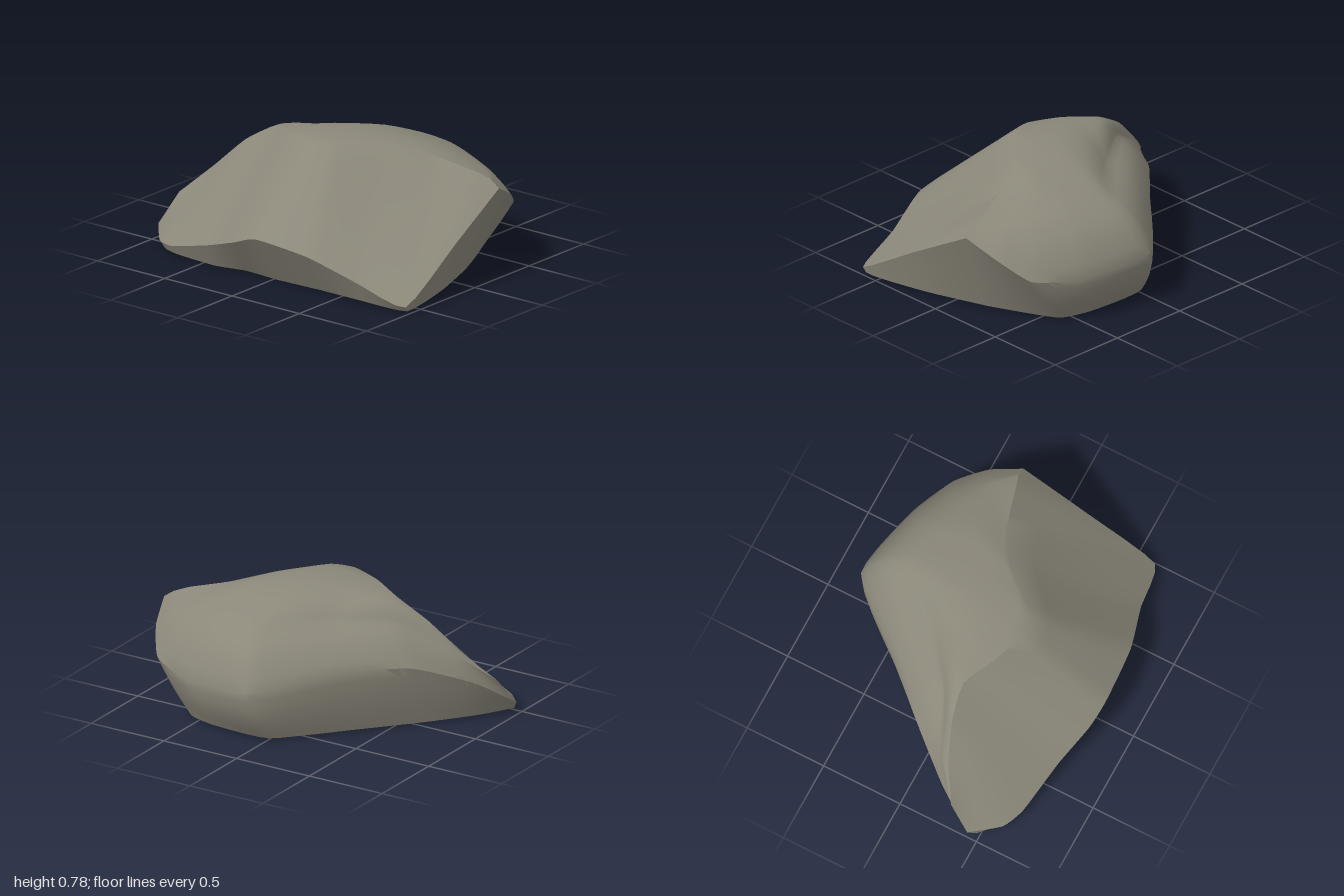
import * as THREE from 'three';
import { mergeGeometries, toCreasedNormals } from 'three/addons/utils/BufferGeometryUtils.js';

const SEG = 40;

// Smooth outline through a few points, sampled evenly from left tip to right end
function outline(points) {
  const curve = new THREE.CatmullRomCurve3(points.map(p => new THREE.Vector3(...p)), false, 'catmullrom', 0.25);
  return curve.getPoints(SEG);
}

// Surface between two outlines, swelling by (0, up, -back) in the middle and fading to both ends
function loft(from, to, rows, up = 0, back = 0, fade = 2) {
  const pos = [], index = [];
  for (let i = 0; i <= SEG; i++) {
    for (let j = 0; j <= rows; j++) {
      const s = j / rows;
      const p = from[i].clone().lerp(to[i], s);
      const swell = Math.sin(Math.PI * s) * Math.max(0, Math.sin(Math.PI * i / SEG)) ** fade;
      pos.push(p.x, p.y + up * swell, p.z - back * swell);
      if (i < SEG && j < rows) {
        const a = i * (rows + 1) + j, b = a + 1, d = a + rows + 1, c = d + 1;
        index.push(a, b, c, a, c, d);
      }
    }
  }
  const geo = new THREE.BufferGeometry();
  geo.setAttribute('position', new THREE.Float32BufferAttribute(pos, 3));
  geo.setIndex(index);
  return geo;
}

export function createModel() {
  const stone = new THREE.MeshStandardMaterial({ color: 0x8b887a });
  stone.name = 'warm grey stone';

  // Upper ridge, front and back
  const ridgeTip = [-0.95, 0.25, 0.31], ridgeEnd = [0.92, 0.585, -0.24];
  const ridgeFront = outline([ridgeTip, [-0.78, 0.42, 0.2], [-0.6, 0.6, 0.13], [-0.4, 0.72, 0.1],
    [-0.2, 0.75, 0.2], [0, 0.76, 0.27], [0.15, 0.76, 0.24], [0.36, 0.75, 0], [0.6, 0.68, -0.14],
    [0.83, 0.62, -0.21], ridgeEnd]);
  const ridgeBack = outline([ridgeTip, [-0.76, 0.42, 0.15], [-0.46, 0.61, 0], [-0.15, 0.62, -0.25],
    [0.14, 0.63, -0.53], [0.42, 0.63, -0.5], [0.66, 0.59, -0.44], [0.82, 0.57, -0.36], ridgeEnd]);

  // Widest edge, above the undercut
  const edgeTip = [-1, 0.08, 0.44], edgeEnd = [0.985, 0.54, -0.24];
  const edgeFront = outline([edgeTip, [-0.86, 0.05, 0.6], [-0.72, 0.06, 0.66], [-0.4, 0.15, 0.72],
    [-0.15, 0.24, 0.79], [0.02, 0.3, 0.81], [0.38, 0.26, 0.78], [0.68, 0.14, 0.69],
    [0.985, 0.04, 0.62], [0.99, 0.3, 0.18], edgeEnd]);
  const edgeBack = outline([edgeTip, [-0.86, 0.25, 0.2], [-0.62, 0.39, -0.1], [-0.33, 0.4, -0.41],
    [0.05, 0.32, -0.81], [0.53, 0.29, -0.73], [0.8, 0.32, -0.6], [0.92, 0.44, -0.43], edgeEnd]);

  // Footprint
  const footTip = [-0.96, 0.02, 0.48], footEnd = [0.77, 0.01, -0.2];
  const footFront = outline([footTip, [-0.82, 0.01, 0.6], [-0.7, 0.01, 0.64], [-0.42, 0, 0.64],
    [-0.2, 0.01, 0.62], [0.02, 0, 0.61], [0.35, 0.01, 0.62], [0.65, 0.015, 0.63],
    [0.98, 0.01, 0.6], [0.9, 0.01, 0.18], footEnd]);
  const footBack = outline([footTip, [-0.83, 0.01, 0.3], [-0.63, 0.01, 0.04], [-0.35, 0.01, -0.28],
    [-0.01, 0.015, -0.67], [0.38, 0.01, -0.66], [0.57, 0.01, -0.6], [0.67, 0.01, -0.42], footEnd]);

  // Faces wrapped around the stone: top, front, undercut, base, rear undercut, rear shoulder
  const faces = [
    loft(ridgeBack, ridgeFront, 10, 0.07, 0, 3),
    loft(ridgeFront, edgeFront, 5),
    loft(edgeFront, footFront, 3),
    loft(footFront, footBack, 4),
    loft(footBack, edgeBack, 6, 0, 0.03),
    loft(edgeBack, ridgeBack, 6, 0.045, 0.03),
  ];
  const rock = new THREE.Mesh(toCreasedNormals(mergeGeometries(faces), Math.PI / 5), stone);
  rock.name = 'rock';

  const group = new THREE.Group();
  group.name = 'boulder';
  group.add(rock);
  return group;
}
